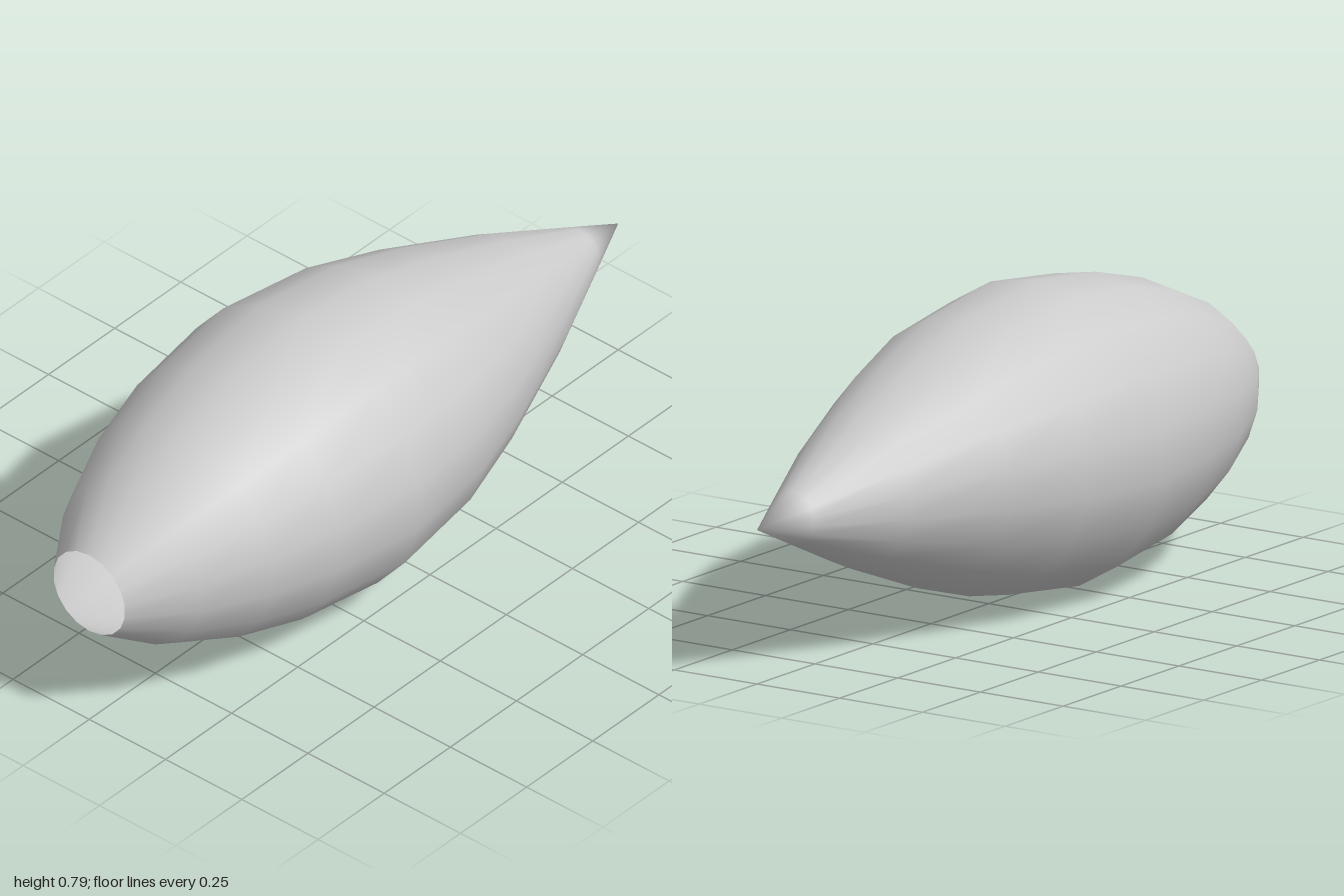
import * as THREE from 'three';
import { mergeVertices } from 'three/addons/utils/BufferGeometryUtils.js';

// Hull profile: position along the length, radius
const PROFILE = [
  [-1, 0.118], [-0.84, 0.227], [-0.66, 0.305], [-0.46, 0.36], [-0.2, 0.393],
  [0.085, 0.357], [0.31, 0.29], [0.6, 0.18], [0.85, 0.068], [1, 0],
];
const SIDES = 18;
const AXIS_HEIGHT = 0.395;

export function createModel() {
  const model = new THREE.Group();
  model.name = 'spindle';

  // Pointed hull, turned about the x axis and open at the blunt end
  const points = PROFILE.map(([x, r]) => new THREE.Vector2(r, x));
  let geometry = new THREE.LatheGeometry(points, SIDES, Math.PI / 2);
  geometry.rotateZ(-Math.PI / 2);

  // Weld the seam and the tip so the shading runs smoothly over both
  geometry.deleteAttribute('normal');
  geometry.deleteAttribute('uv');
  geometry = mergeVertices(geometry, 1e-4);
  geometry.computeVertexNormals();

  const material = new THREE.MeshStandardMaterial({ color: 0xcccccc, side: THREE.DoubleSide });
  const hull = new THREE.Mesh(geometry, material);
  hull.name = 'hull';
  hull.position.y = AXIS_HEIGHT;
  model.add(hull);
  return model;
}
